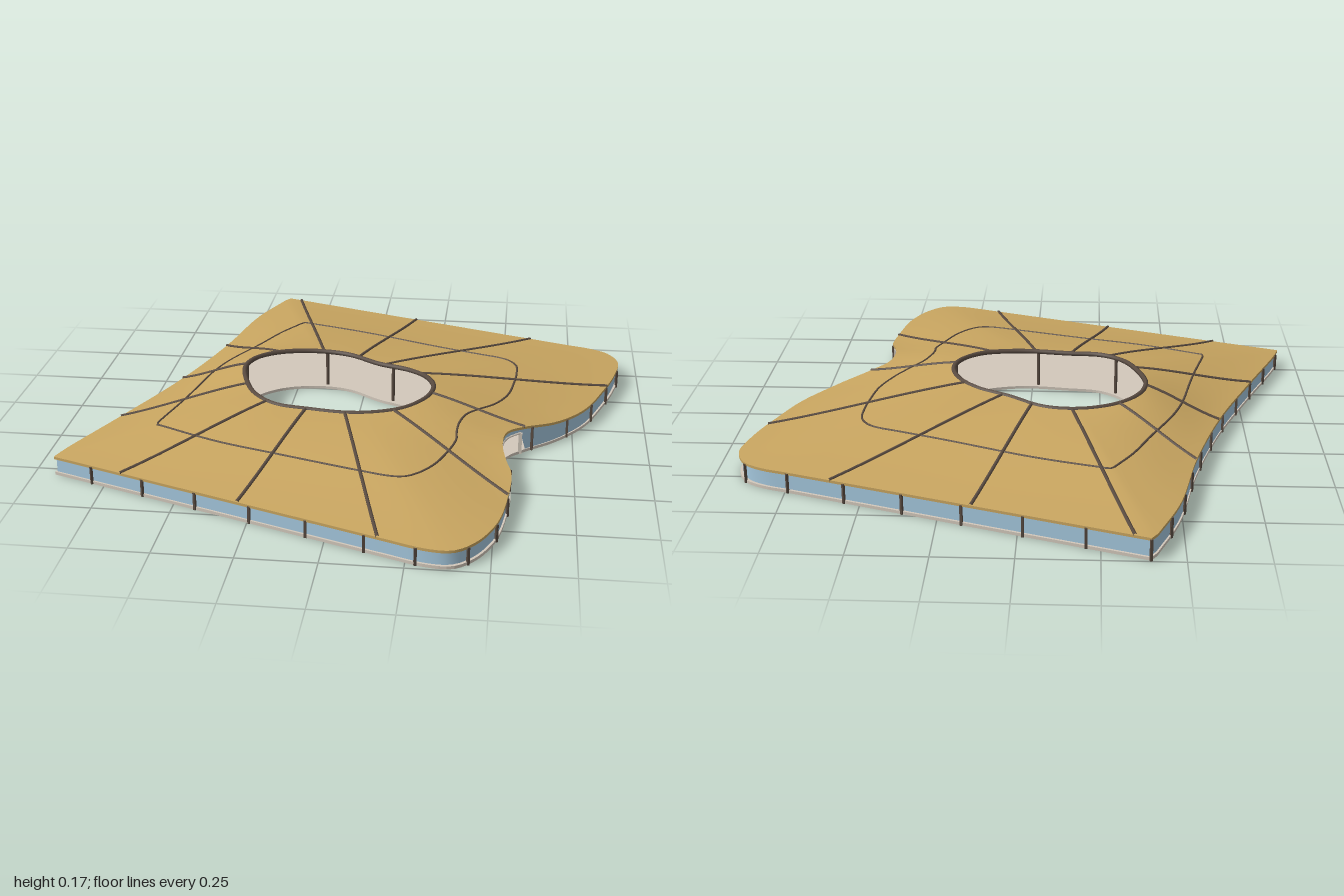
import * as THREE from 'three';
import { toCreasedNormals } from 'three/addons/utils/BufferGeometryUtils.js';

const CX = -0.08, CZ = 0.02, SLAB = 0.01, THICK = 0.009;
const mat = (color, extra = {}) => new THREE.MeshStandardMaterial({ color, ...extra });
const spline = (pts, n, closed = false) =>
  new THREE.CatmullRomCurve3(pts.map(([x, z]) => new THREE.Vector3(x, 0, z)), closed, 'centripetal')
    .getSpacedPoints(n).map(p => [p.x, p.z]);
const line = (a, b, n) => Array.from({ length: n - 1 }, (_, i) =>
  [a[0] + (b[0] - a[0]) * (i + 1) / n, a[1] + (b[1] - a[1]) * (i + 1) / n]);

// Plan: curved right side with a notch, concave left side, straight back and front
const right = spline([[0.74, -0.61], [0.83, -0.58], [0.89, -0.54], [0.925, -0.46], [0.905, -0.33], [0.86, -0.19],
  [0.79, -0.02], [0.69, 0.11], [0.585, 0.2], [0.53, 0.26], [0.515, 0.35], [0.53, 0.45], [0.547, 0.51],
  [0.54, 0.65], [0.51, 0.82], [0.45, 0.94], [0.39, 0.99], [0.32, 0.99], [0.17, 0.94]], 90);
const left = spline([[-0.93, 0.54], [-0.91, 0.48], [-0.79, 0.2], [-0.66, -0.12], [-0.56, -0.45],
  [-0.49, -0.77], [-0.415, -0.965]], 40);
const backCorner = [-0.395, -0.995];
const outer = [backCorner, ...line(backCorner, right[0], 24), ...right,
  ...line(right[right.length - 1], left[0], 24), ...left];
const hole = spline([[-0.13, -0.25], [-0.05, -0.23], [0.06, -0.155], [0.17, -0.1], [0.24, -0.03], [0.27, 0.06],
  [0.25, 0.15], [0.18, 0.23], [0.09, 0.265], [0, 0.275], [-0.13, 0.26], [-0.25, 0.24], [-0.33, 0.175],
  [-0.38, 0.07], [-0.405, -0.05], [-0.38, -0.14], [-0.31, -0.21], [-0.22, -0.245]], 96, true).slice(0, -1);

const angleOf = ([x, z]) => Math.atan2(z - CZ, x - CX);

// Where a ray from the plan centre crosses an outline
function hit(poly, a) {
  const c = Math.cos(a), s = Math.sin(a);
  for (let i = 0; i < poly.length; i++) {
    const [px, pz] = poly[i], [qx, qz] = poly[(i + 1) % poly.length];
    const s1 = c * (pz - CZ) - s * (px - CX), s2 = c * (qz - CZ) - s * (qx - CX);
    if (s1 > 0 || s2 <= 0) continue;
    const k = s1 / (s1 - s2), x = px + k * (qx - px), z = pz + k * (qz - pz);
    if ((x - CX) * c + (z - CZ) * s > 0) return [x, z];
  }
  return poly[0];
}

// Roof surface: t = 0 at the eaves, 1 at the courtyard rim; the eaves lift over the notch
function roofPoint(o, t) {
  const h = hit(hole, angleOf(o));
  const eave = 0.068 - 0.006 * o[1] + 0.038 * Math.exp(-((o[0] - 0.53) ** 2 + (o[1] - 0.3) ** 2) / 0.045);
  const rim = 0.15 + 0.014 * ((h[0] + 0.07) / 0.33) ** 2;
  const k = 0.7 * t + 0.3 * t * t * (3 - 2 * t);
  return new THREE.Vector3(o[0] + (h[0] - o[0]) * t, eave + (rim - eave) * k, o[1] + (h[1] - o[1]) * t);
}

// Closed loft round the plan through one cross-section per outline point
function loft(sections) {
  const m = sections[0].length, n = sections.length, idx = [];
  for (let i = 0; i < n; i++) for (let j = 0; j < m - 1; j++) {
    const a = i * m + j, b = ((i + 1) % n) * m + j;
    idx.push(a, a + 1, b, a + 1, b + 1, b);
  }
  const g = new THREE.BufferGeometry().setFromPoints(sections.flat());
  g.setIndex(idx);
  g.computeVertexNormals();
  return toCreasedNormals(g, 0.6);
}

export function createModel() {
  const model = new THREE.Group();
  const add = (name, geometry, material, parent = model) => {
    const mesh = new THREE.Mesh(geometry, material);
    mesh.name = name;
    parent.add(mesh);
    return mesh;
  };
  const group = name => { const g = new THREE.Group(); g.name = name; model.add(g); return g; };
  const gold = mat(0xc8a560), dark = mat(0x5a4c42), stone = mat(0xd2c8bb);
  const glass = mat(0xa5c8de, { side: THREE.DoubleSide });
  const tube = (name, pts, r, closed, parent, n = 24) => add(name,
    new THREE.TubeGeometry(new THREE.CatmullRomCurve3(pts, closed, 'centripetal'), n, r, 6, closed), dark, parent);

  // Floor slab with courtyard opening
  const v2 = p => new THREE.Vector2(p[0], p[1]);
  const plan = new THREE.Shape(outer.map(v2));
  plan.holes.push(new THREE.Path(hole.map(v2)));
  const floor = new THREE.ExtrudeGeometry(plan, { depth: SLAB, bevelEnabled: false });
  floor.rotateX(Math.PI / 2).translate(0, SLAB, 0);
  add('floorSlab', floor, stone);

  // Roof shell
  const steps = Array.from({ length: 13 }, (_, i) => i / 12);
  add('roof', loft(outer.map(o => {
    const top = steps.map(t => roofPoint(o, t));
    const under = top.map(p => p.clone().setY(p.y - THICK)).reverse();
    return [...top, ...under, top[0].clone()];
  })), gold);

  // Glass wall, with an open entrance under the notch
  const inNotch = o => o[0] > 0.4 && o[1] > 0.2 && o[1] < 0.48;
  const lintelY = 0.075;
  add('glassWall', loft(outer.map(o => {
    const p = roofPoint(o, 0.012);
    return [p.clone().setY(p.y - THICK / 2), p.clone().setY(inNotch(o) ? lintelY : SLAB)];
  })), glass);

  // Entrance lintel and jambs
  const entrance = group('entranceFrame');
  const notch = outer.filter(inNotch).map(o => roofPoint(o, 0.012).setY(lintelY));
  add('lintel', new THREE.TubeGeometry(new THREE.CatmullRomCurve3(notch), 24, 0.004, 6), stone, entrance);
  for (const p of [notch[0], notch[notch.length - 1]]) {
    add('jamb', new THREE.BoxGeometry(0.012, lintelY, 0.012), stone, entrance).position.set(p.x, lintelY / 2, p.z);
  }

  // Mullions at even spacing along the wall
  const mullions = group('mullions');
  let run = 0.16;
  outer.forEach((o, i) => {
    const prev = outer[(i + outer.length - 1) % outer.length];
    if (i) run += Math.hypot(o[0] - prev[0], o[1] - prev[1]);
    if (run < 0.155 || inNotch(o)) return;
    run = 0;
    const h = roofPoint(o, 0).y - THICK / 2;
    const post = add('mullion', new THREE.BoxGeometry(0.008, h, 0.008), dark, mullions);
    post.position.set(o[0], h / 2, o[1]);
    post.rotation.y = -angleOf(o);
  });

  // Radial ribs, middle ring and courtyard rim on the roof
  const ribs = group('roofRibs');
  for (let k = 0; k < 12; k++) {
    const o = hit(outer, Math.PI * (15 + 30 * k) / 180);
    tube('radialRib', steps.map(t => roofPoint(o, t)), 0.006, false, ribs);
  }
  tube('middleRib', outer.map(o => roofPoint(o, 0.5)), 0.004, true, ribs, 220);
  const rim = hole.map(p => roofPoint(hit(outer, angleOf(p)), 1));
  tube('courtyardRim', rim.map(p => p.setY(p.y - 0.002)), 0.009, true, ribs, 120);

  // Posts round the open courtyard
  const posts = group('courtyardPosts');
  for (let k = 0; k < 6; k++) {
    const p = roofPoint(hit(outer, Math.PI * (18 + 60 * k) / 180), 0.97);
    add('courtyardPost', new THREE.CylinderGeometry(0.006, 0.006, p.y - SLAB, 10), dark, posts)
      .position.set(p.x, (p.y + SLAB) / 2 - 0.002, p.z);
  }
  return model;
}
